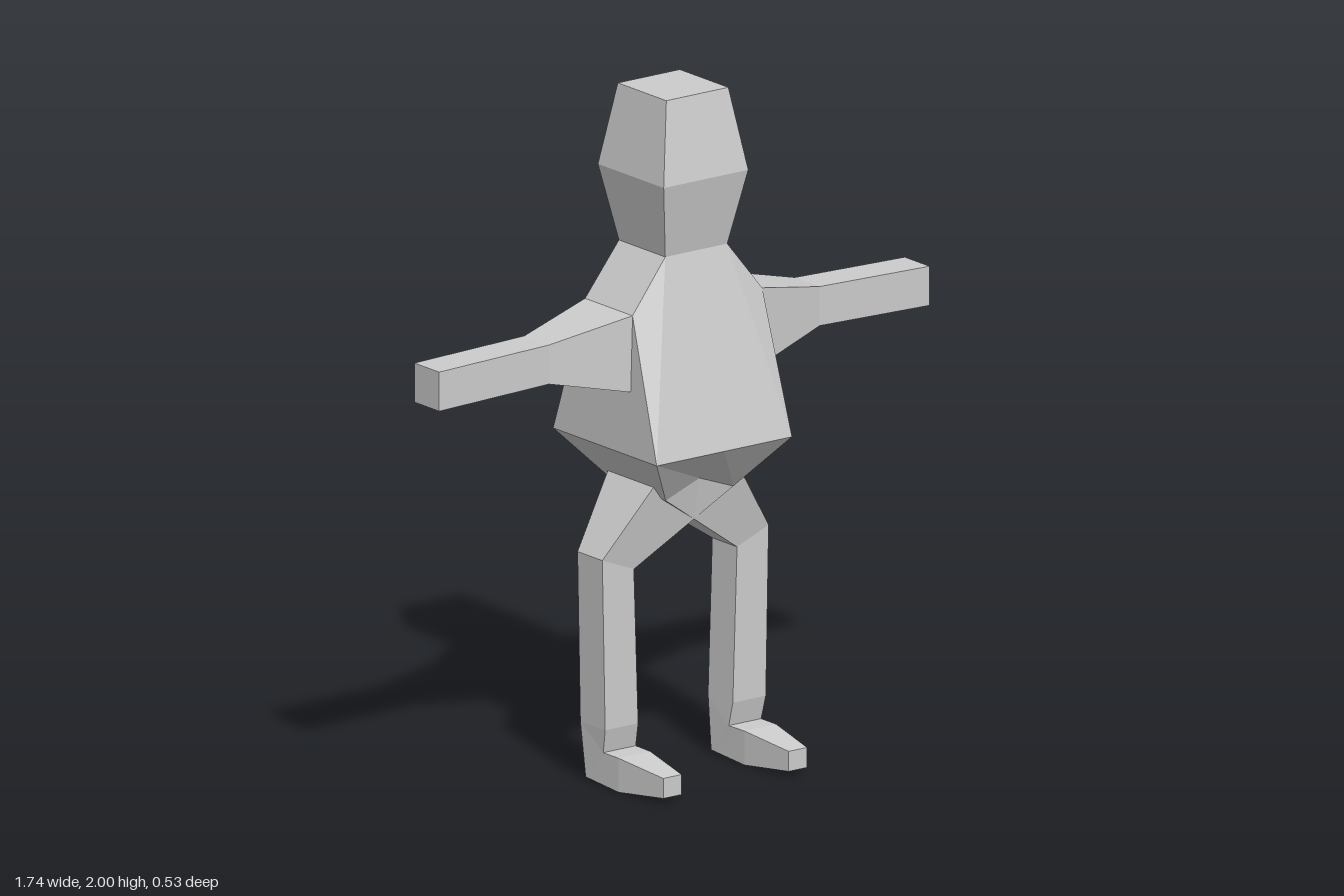
import * as THREE from 'three';
import { ConvexGeometry } from 'three/addons/geometries/ConvexGeometry.js';

const grey = new THREE.MeshStandardMaterial({ color: 0xcccccc });
grey.name = 'plain grey';
grey.flatShading = true;

function mesh(name, geometry) {
  const m = new THREE.Mesh(geometry, grey);
  m.name = name;
  return m;
}

// Four corners of a level rectangle
const level = (y, x, zFront, zBack) =>
  [[-x, y, zFront], [x, y, zFront], [x, y, zBack], [-x, y, zBack]];

const hull = (...rings) =>
  new ConvexGeometry(rings.flat().map((p) => new THREE.Vector3(...p)));

// Skin joining successive rings, closed at the last one; side -1 mirrors it in x
function loft(rings, side = 1) {
  const loops = rings.map((ring) => {
    const r = ring.map(([x, y, z]) => [x * side, y, z]);
    return side < 0 ? r.reverse() : r;
  });
  const n = loops[0].length, out = [];
  for (let k = 0; k < loops.length - 1; k++) {
    const a = loops[k], b = loops[k + 1];
    for (let i = 0; i < n; i++) {
      const j = (i + 1) % n;
      out.push(a[i], b[i], b[j], a[i], b[j], a[j]);
    }
  }
  const end = loops[loops.length - 1];
  for (let i = 2; i < n; i++) out.push(end[1], end[(i + 1) % n], end[i]);
  const g = new THREE.BufferGeometry();
  g.setAttribute('position', new THREE.Float32BufferAttribute(out.flat(), 3));
  g.computeVertexNormals();
  return g;
}

// Arm section at x
const armRing = (x, yLow, yHigh, zFront, zBack) =>
  [[x, yLow, zFront], [x, yHigh, zFront], [x, yHigh, zBack], [x, yLow, zBack]];

// Leg section: inner and outer x, then [y, z] of each corner on the front and back
const legRing = (xIn, xOut, inF, outF, outB, inB) =>
  [[xIn, ...inF], [xOut, ...outF], [xOut, ...outB], [xIn, ...inB]];

export function createModel() {
  const model = new THREE.Group();
  model.name = 'figure';

  // Head and torso
  model.add(mesh('head', hull(
    level(2, 0.11, 0.09, -0.135), level(1.76, 0.15, 0.13, -0.175), level(1.54, 0.11, 0.085, -0.13))));
  model.add(mesh('torso', hull(
    level(1.54, 0.11, 0.085, -0.13), level(1.39, 0.23, 0.09, -0.13),
    level(1.165, 0.235, 0.09, -0.13), level(0.98, 0.24, 0.215, -0.265))));

  // Pelvis with a shallow notch between the hips
  const pelvisRing = (x, y, yMid, f, b) =>
    [[-x, y, f], [0, yMid, f], [x, y, f], [x, y, b], [0, yMid, b], [-x, y, b]];
  model.add(mesh('pelvis', loft([
    pelvisRing(0.24, 0.98, 0.98, 0.215, -0.265), pelvisRing(0.12, 0.83, 0.875, 0.1, -0.135)])));

  for (const [label, s] of [['left', 1], ['right', -1]]) {
    model.add(mesh(label + 'Arm', loft([
      armRing(0.23, 1.165, 1.39, 0.09, -0.13),
      armRing(0.48, 1.22, 1.335, 0.03, -0.085),
      armRing(0.87, 1.21, 1.325, 0.03, -0.085)], s)));

    // Leg, ankle and foot in one bent run; the thighs cross under the pelvis
    model.add(mesh(label + 'Leg', loft([
      legRing(-0.12, 0.12, [0.83, 0.1], [0.92, 0.1], [0.92, -0.135], [0.83, -0.135]),
      legRing(0.183, 0.295, [0.625, 0.035], [0.67, 0.035], [0.67, -0.08], [0.625, -0.08]),
      legRing(0.168, 0.285, [0.17, 0.035], [0.17, 0.035], [0.17, -0.08], [0.17, -0.08]),
      legRing(0.165, 0.28, [0.1, 0.02], [0.1, 0.02], [0.01, -0.062], [0.01, -0.062]),
      legRing(0.167, 0.28, [0.1, 0.09], [0.1, 0.09], [0, 0.09], [0, 0.09]),
      legRing(0.19, 0.255, [0.077, 0.265], [0.077, 0.265], [0.018, 0.265], [0.018, 0.265])], s)));
  }
  return model;
}
